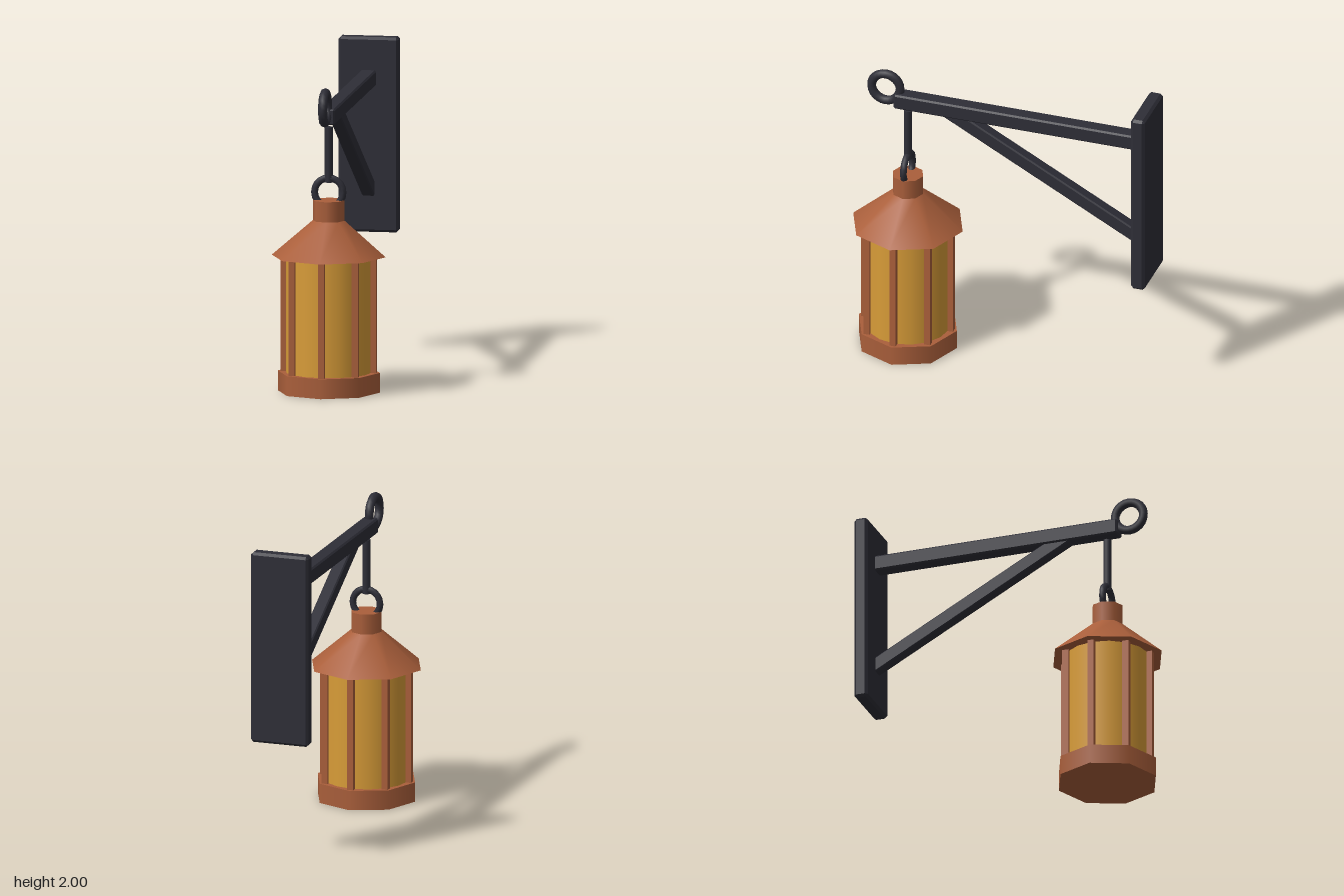
import * as THREE from 'three';
import { ConvexGeometry } from 'three/addons/geometries/ConvexGeometry.js';

const iron = new THREE.MeshStandardMaterial({ name: 'darkIron', color: 0x2e2e37 });
const copper = new THREE.MeshStandardMaterial({ name: 'copper', color: 0xaa5f3b });
const glass = new THREE.MeshStandardMaterial({ name: 'amberGlass', color: 0xd89c38 });

const LANTERN_Z = 0.63;

function add(parent, name, geometry, material, x = 0, y = 0, z = 0) {
  const mesh = new THREE.Mesh(geometry, material);
  mesh.name = name;
  mesh.position.set(x, y, z);
  parent.add(mesh);
  return mesh;
}

// Box with every edge cut by a small chamfer c
function chamferedBox(w, h, d, c) {
  const points = [];
  for (const sx of [-0.5, 0.5]) for (const sy of [-0.5, 0.5]) for (const sz of [-0.5, 0.5]) {
    for (let axis = 0; axis < 3; axis++) {
      const p = [sx * w, sy * h, sz * d];
      for (let k = 0; k < 3; k++) if (k !== axis) p[k] -= Math.sign(p[k]) * c;
      points.push(new THREE.Vector3(...p));
    }
  }
  return new ConvexGeometry(points);
}

function buildBracket() {
  const bracket = new THREE.Group();
  bracket.name = 'wallBracket';
  add(bracket, 'wallPlate', chamferedBox(0.38, 1.23, 0.09, 0.016), iron, 0, 1.385, -0.943);
  add(bracket, 'arm', chamferedBox(0.1, 0.1, 1.65, 0.01), iron, 0, 1.742, -0.115);

  // Diagonal brace from the plate up to the arm
  const low = new THREE.Vector3(0, 1.03, -0.935);
  const high = new THREE.Vector3(0, 1.735, 0.38);
  const mid = low.clone().add(high).multiplyScalar(0.5);
  const brace = add(bracket, 'brace', chamferedBox(0.08, 0.088, low.distanceTo(high), 0.008), iron, ...mid.toArray());
  brace.rotation.x = -Math.atan2(high.y - low.y, high.z - low.z);

  // Ring at the tip of the arm
  const tip = add(bracket, 'tipRing', new THREE.TorusGeometry(0.094, 0.029, 8, 24), iron, 0, 1.812, 0.775);
  tip.rotation.y = Math.PI / 2;

  // Hanging rod
  add(bracket, 'hangingRod', new THREE.CylinderGeometry(0.027, 0.027, 0.35, 8), iron, 0, 1.495, LANTERN_Z);
  return bracket;
}

function buildLantern() {
  const lantern = new THREE.Group();
  lantern.name = 'lantern';
  lantern.position.z = LANTERN_Z;
  add(lantern, 'base', new THREE.CylinderGeometry(0.322, 0.322, 0.125, 8), copper, 0, 0.0625, 0);
  add(lantern, 'glassBody', new THREE.CylinderGeometry(0.27, 0.27, 0.74, 16), glass, 0, 0.49, 0);
  add(lantern, 'roof', new THREE.CylinderGeometry(0.1, 0.36, 0.225, 8), copper, 0, 0.9675, 0);
  add(lantern, 'chimney', new THREE.CylinderGeometry(0.1, 0.1, 0.13, 8), copper, 0, 1.143, 0);
  add(lantern, 'carryRing', new THREE.TorusGeometry(0.09, 0.022, 8, 20), iron, 0, 1.258, 0);

  // Eight upright bars around the glass
  const barGeometry = new THREE.BoxGeometry(0.04, 0.74, 0.04);
  for (let i = 0; i < 8; i++) {
    const a = (i * Math.PI) / 4;
    add(lantern, 'bar', barGeometry, copper, 0.282 * Math.sin(a), 0.49, 0.282 * Math.cos(a));
  }
  return lantern;
}

export function createModel() {
  const model = new THREE.Group();
  model.name = 'wallLantern';
  model.add(buildBracket(), buildLantern());
  return model;
}
